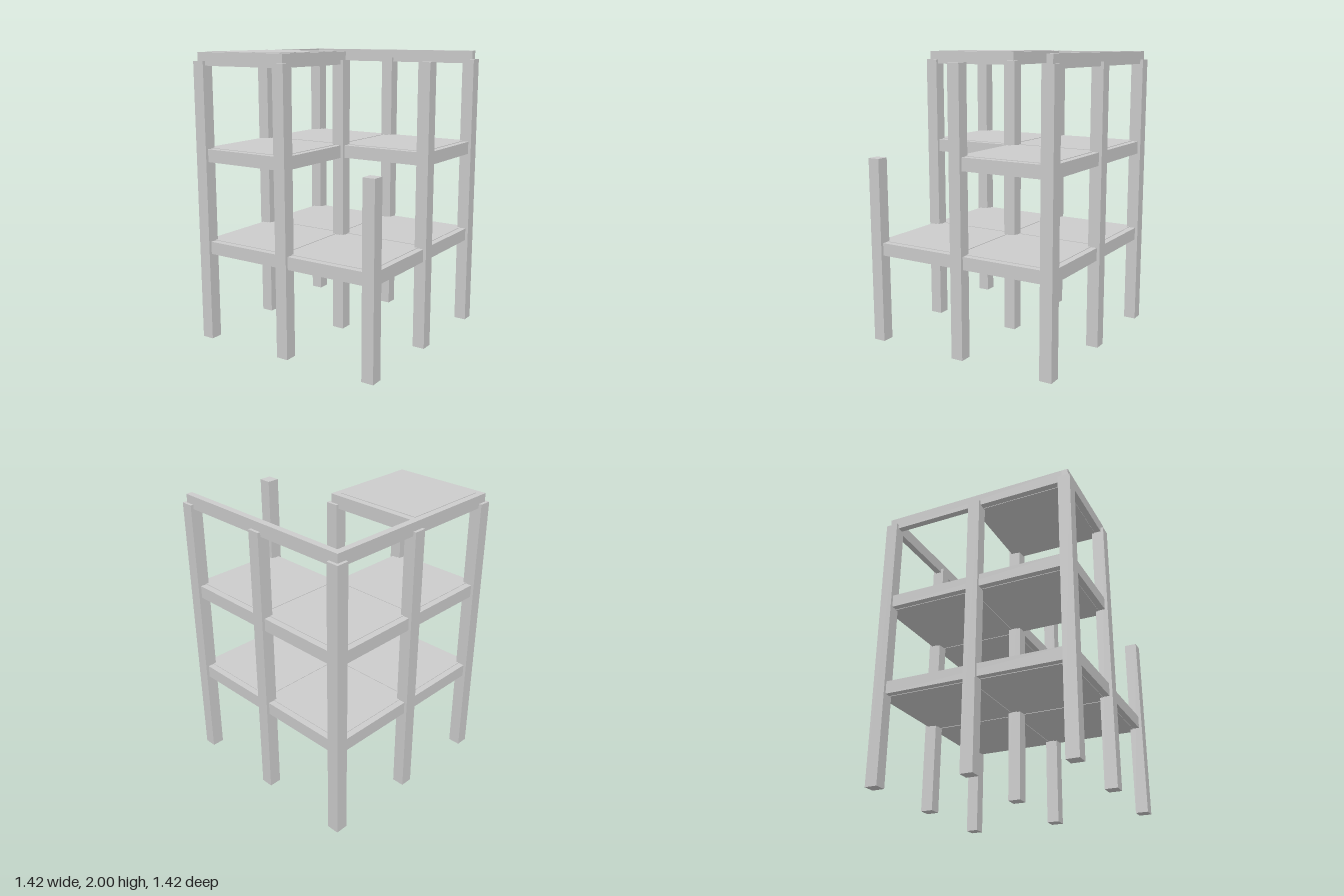
import * as THREE from 'three';

const P = 0.665;         // grid spacing of the columns
const COL = 0.086;       // column width
const BEAM = 0.045;      // beam width
const BEAM_H = 0.088;    // beam depth

export function createModel() {
  const model = new THREE.Group();
  model.name = 'buildingFrame';
  const material = new THREE.MeshStandardMaterial({ color: 0xcccccc, flatShading: true });

  function box(parent, name, w, h, d, x, y, z) {
    const mesh = new THREE.Mesh(new THREE.BoxGeometry(w, h, d), material);
    mesh.name = name;
    mesh.position.set(x, y, z);
    parent.add(mesh);
  }

  // Columns: a 3 x 3 grid, the front left corner is one storey shorter
  const columns = new THREE.Group();
  columns.name = 'columns';
  for (const i of [-1, 0, 1]) {
    for (const k of [-1, 0, 1]) {
      const h = i === 1 && k === 1 ? 1.292 : 1.938;
      box(columns, 'column', COL, h, COL, i * P, h / 2, k * P);
    }
  }
  model.add(columns);

  // Beam between two grid points, running past both by half its width
  function beam(parent, y, x0, z0, x1, z1) {
    box(parent, 'beam', (x1 - x0) * P + BEAM, BEAM_H, (z1 - z0) * P + BEAM,
      (x0 + x1) / 2 * P, y, (z0 + z1) / 2 * P);
  }

  // Slab filling one bay, a touch thicker than the beams around it
  function slab(parent, y, i, k) {
    const s = P - BEAM;
    box(parent, 'floorSlab', s, BEAM_H + 0.007, s, i * P / 2, y, k * P / 2);
  }

  // Each floor: top height, bays with a slab, beams as [x0, z0, x1, z1]
  const floors = [
    {
      top: 0.709,
      bays: [[-1, -1], [1, -1], [-1, 1], [1, 1]],
      beams: [[-1, -1, 1, -1], [-1, 0, 1, 0], [-1, 1, 1, 1],
        [-1, -1, -1, 1], [0, -1, 0, 1], [1, -1, 1, 1]],
    },
    {
      top: 1.355,
      bays: [[-1, -1], [1, -1], [-1, 1]],
      beams: [[-1, -1, 1, -1], [-1, 0, 1, 0], [-1, 1, 0, 1],
        [-1, -1, -1, 1], [0, -1, 0, 1], [1, -1, 1, 0]],
    },
    {
      top: 2,
      bays: [[-1, 1]],
      beams: [[-1, -1, 1, -1], [-1, 0, 0, 0], [-1, 1, 0, 1],
        [-1, -1, -1, 1], [0, 0, 0, 1]],
    },
  ];
  floors.forEach(({ top, bays, beams }, n) => {
    const floor = new THREE.Group();
    floor.name = ['firstFloor', 'secondFloor', 'roof'][n];
    const y = top - (BEAM_H + 0.007) / 2;
    for (const b of beams) beam(floor, y, ...b);
    for (const [i, k] of bays) slab(floor, y, i, k);
    model.add(floor);
  });

  return model;
}
